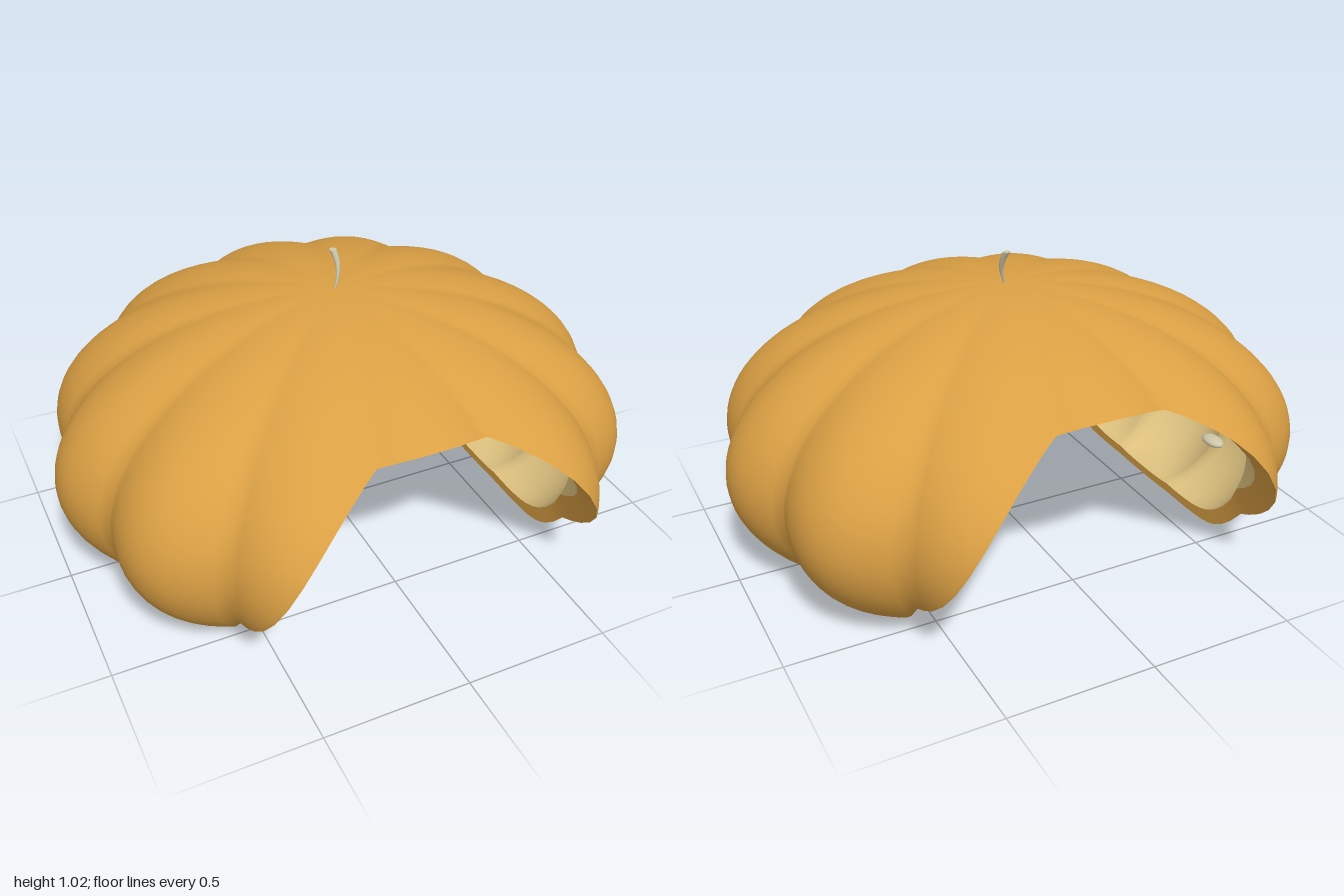
import * as THREE from 'three';

const SEG = 144, ROWS = 36;
const CUT_X = 0.6, CUT_Y = 0.12;      // tunnel: round arch on straight sides
const PHI_MAX = 2.7;

// Point on the ribbed gourd; k scales it about its widest level
function gourd(theta, phi, k) {
  const rib = 1 - 0.08 * (1 - Math.abs(Math.cos(6 * theta)));
  const r = Math.sin(phi) * rib * k;
  const e = 0.36 + 0.54 * Math.cos(phi);
  const soft = Math.max(0, 0.5 * (e + Math.sqrt(e * e + 0.0016)) - 0.004); // flattened underside
  const y = 0.36 + (soft - 0.36) * k;
  return new THREE.Vector3(r * Math.cos(theta), y, r * Math.sin(theta));
}

function inTunnel(p) {
  return p.y > CUT_Y ? Math.hypot(p.x, p.y - CUT_Y) < CUT_X : Math.abs(p.x) < CUT_X;
}

// Where a meridian, followed down from the crown, meets the tunnel
function cutAngle(theta, k) {
  let lo = 0.1;
  while (lo < PHI_MAX && !inTunnel(gourd(theta, lo + 0.02, k))) lo += 0.02;
  let hi = lo + 0.02;
  for (let i = 0; i < 24; i++) {
    const mid = (lo + hi) / 2;
    if (inTunnel(gourd(theta, mid, k))) hi = mid; else lo = mid;
  }
  return lo;
}

// Closed ring surface from a point function of (column, row)
function ringSurface(rows, point, flip) {
  const pos = [], idx = [];
  for (let j = 0; j <= rows; j++)
    for (let i = 0; i < SEG; i++) pos.push(...point(i, j).toArray());
  for (let j = 0; j < rows; j++)
    for (let i = 0; i < SEG; i++) {
      const n = (i + 1) % SEG;
      const a = j * SEG + i, b = j * SEG + n, c = a + SEG, d = b + SEG;
      if (flip) idx.push(a, c, b, b, c, d);
      else idx.push(a, b, c, b, d, c);
    }
  const g = new THREE.BufferGeometry();
  g.setAttribute('position', new THREE.Float32BufferAttribute(pos, 3));
  g.setIndex(idx);
  g.computeVertexNormals();
  return g;
}

export function createModel() {
  const group = new THREE.Group();
  const material = (name, color) => {
    const m = new THREE.MeshStandardMaterial({ color });
    m.name = name;
    return m;
  };
  const orange = material('orange skin', 0xdba044);
  const flesh = material('pale flesh', 0xdfc380);
  const cream = material('cream', 0xcfc7aa);

  const add = (name, geometry, mat, x = 0, y = 0, z = 0) => {
    const mesh = new THREE.Mesh(geometry, mat);
    mesh.name = name;
    mesh.position.set(x, y, z);
    group.add(mesh);
    return mesh;
  };

  // Shell: outer skin, inner wall and the cut rim between them
  const K = 0.925;
  const angle = i => (i / SEG) * Math.PI * 2;
  const ends = k => Array.from({ length: SEG }, (_, i) => cutAngle(angle(i), k));
  const outerEnd = ends(1), innerEnd = ends(K);
  const wall = (k, end) => (i, j) => gourd(angle(i), Math.max(0.001, end[i] * j / ROWS), k);
  add('outerSkin', ringSurface(ROWS, wall(1, outerEnd), false), orange);
  add('innerWall', ringSurface(ROWS, wall(K, innerEnd), true), flesh);
  add('cutRim', ringSurface(1, (i, j) => j
    ? gourd(angle(i), innerEnd[i], K)
    : gourd(angle(i), outerEnd[i], 1), false), orange);

  // Stem: thin at the base, flaring and bending backwards
  const stem = new THREE.CylinderGeometry(0.013, 0.003, 0.13, 8, 8);
  const sp = stem.attributes.position;
  for (let i = 0; i < sp.count; i++) {
    const t = sp.getY(i) / 0.13 + 0.5;
    sp.setX(i, sp.getX(i) + 0.02 * Math.sin(t * 2.4));
    sp.setZ(i, sp.getZ(i) - 0.04 * t * t);
  }
  stem.computeVertexNormals();
  add('stem', stem, cream, 0.003, 0.955, 0);

  // Hanging lamp
  add('lampCord', new THREE.CylinderGeometry(0.006, 0.006, 0.26, 8), cream, 0, 0.735, 0);
  add('lampBulb', new THREE.SphereGeometry(0.066, 8, 6), cream, 0, 0.562, 0);

  // Seeds scattered just under the arch: [x, y, z]
  const seedGeometry = new THREE.SphereGeometry(1, 12, 8);
  seedGeometry.scale(0.029, 0.015, 0.048);
  const seeds = [
    [-0.51, 0.41, 0.40], [-0.41, 0.54, 0.39], [-0.385, 0.56, 0.31], [-0.265, 0.64, 0.37],
    [-0.315, 0.61, -0.12], [-0.35, 0.585, -0.33], [-0.48, 0.45, -0.57], [-0.08, 0.70, 0.03],
    [0.03, 0.705, -0.15], [-0.02, 0.705, -0.35], [0.175, 0.675, -0.5], [-0.165, 0.68, -0.445],
    [-0.285, 0.63, -0.56], [0.23, 0.655, 0.3], [0.35, 0.585, -0.3], [0.385, 0.56, 0.1],
    [0.37, 0.57, 0.45], [0.465, 0.465, -0.1], [0.5, 0.41, 0.35], [0.52, 0.375, -0.4],
  ];
  for (const [x, y, z] of seeds) add('seed', seedGeometry, cream, x, y, z);

  return group;
}
